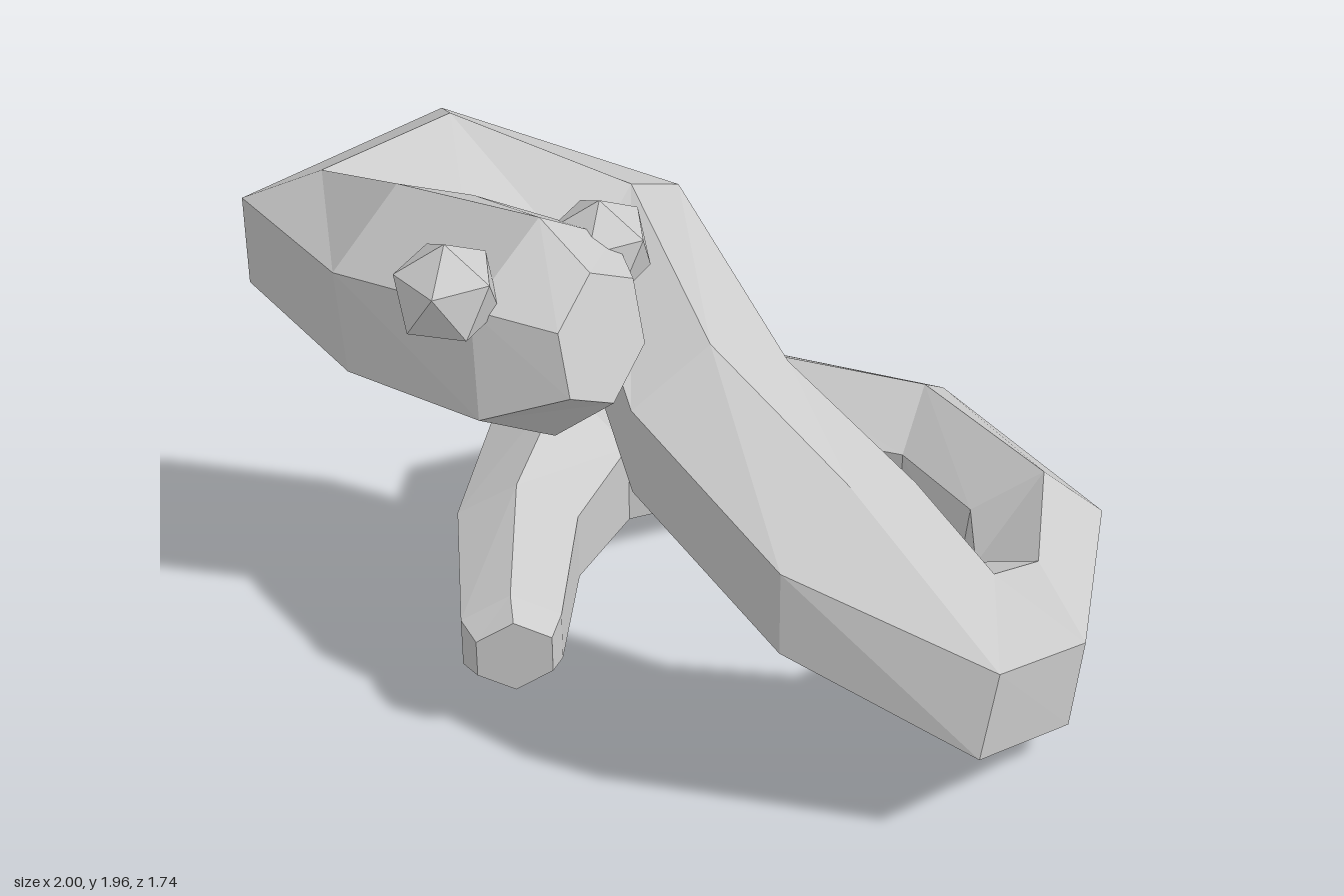
import * as THREE from 'three';

// Body rings from tail to head:
// centre x, y, z, half-width vector x, z, radius, lean of the top corner x, z
const RINGS = [
  [-0.55, 0.25, 0.03, -0.09, -0.03, 0.11],
  [-0.53, 0.245, -0.04, -0.12, -0.04, 0.145],
  [-0.38, 0.245, -0.38, -0.14, -0.07, 0.2],
  [-0.125, 0.245, -0.685, -0.105, -0.185],
  [0.33, 0.245, -0.66, 0.05, -0.18],
  [0.745, 0.245, -0.29, 0.115, -0.11],
  [0.83, 0.245, 0.165, 0.155, 0.07, 0.245, 0.03],
  [0.64, 0.245, 0.49, 0.055, 0.19, 0.245, 0.04, -0.015],
  [0.41, 0.41, 0.66, -0.06, 0.2, 0.245, 0.05, -0.015],
  [0.125, 0.7, 0.53, -0.22, 0.09],
  [-0.085, 0.95, 0.19, -0.21, 0.015],
  [-0.105, 1.145, -0.24, -0.175, 0.12],
  [-0.48, 1.315, -0.46, -0.05, 0.21],
  [-0.84, 1.315, -0.35, 0.16, 0.14],
  [-0.795, 1.545, 0.14, 0.195, -0.08, 0.23, 0, -0.06],
  [-0.645, 1.685, 0.6, 0.19, -0.065, 0.23, 0.02, -0.08],
  [-0.575, 1.73, 0.74, 0.11, -0.06, 0.13, 0, -0.06],
];
const SIDES = 6;

// Six-sided skin through all rings, closed at both ends
function bodyGeometry() {
  const points = [], index = [];
  for (const [x, y, z, sx, sz, r = 0.245, lx = 0, lz = 0] of RINGS) {
    for (let k = 0; k < SIDES; k++) {
      const a = (k / SIDES) * Math.PI * 2;
      const up = Math.cos(a), out = Math.sin(a) / Math.sin(Math.PI / 3);
      points.push(x + sx * out + lx * up, y + r * up, z + sz * out + lz * up);
    }
  }
  const last = (RINGS.length - 1) * SIDES;
  for (let i = 0; i < last; i += SIDES) {
    for (let k = 0; k < SIDES; k++) {
      const a = i + k, b = i + (k + 1) % SIDES;
      index.push(a, a + SIDES, b, b, a + SIDES, b + SIDES);
    }
  }
  for (let k = 1; k < SIDES - 1; k++) {
    index.push(0, k, k + 1);
    index.push(last, last + k + 1, last + k);
  }
  const indexed = new THREE.BufferGeometry();
  indexed.setAttribute('position', new THREE.Float32BufferAttribute(points, 3));
  indexed.setIndex(index);
  const geometry = indexed.toNonIndexed();
  geometry.computeVertexNormals();
  return geometry;
}

export function createModel() {
  const group = new THREE.Group();
  group.name = 'snake';
  const material = new THREE.MeshStandardMaterial({ color: 0xcccccc, flatShading: true });

  const body = new THREE.Mesh(bodyGeometry(), material);
  body.name = 'body';
  group.add(body);

  // Faceted eyes on both sides of the head, one corner pointing up
  const eyeGeometry = new THREE.IcosahedronGeometry(0.122, 0);
  eyeGeometry.rotateZ(Math.atan(2 / (1 + Math.sqrt(5))));
  const eyes = { rightEye: [-0.865, 1.838, 0.595], leftEye: [-0.468, 1.762, 0.47] };
  for (const [name, position] of Object.entries(eyes)) {
    const eye = new THREE.Mesh(eyeGeometry, material);
    eye.name = name;
    eye.position.set(...position);
    eye.rotation.y = -0.3;
    group.add(eye);
  }
  return group;
}
